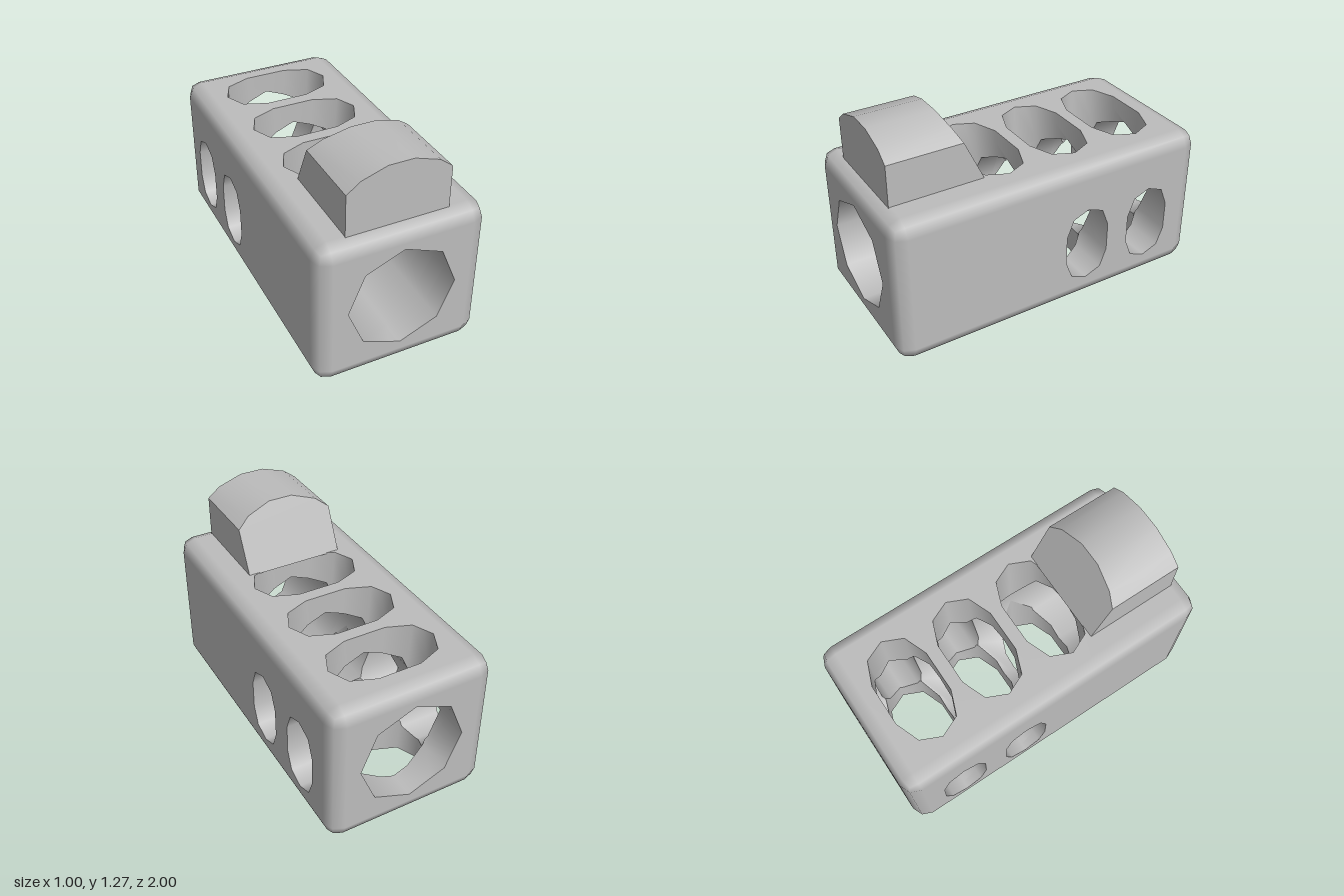
import * as THREE from 'three';
import { RoundedBoxGeometry } from 'three/addons/geometries/RoundedBoxGeometry.js';
import { toCreasedNormals } from 'three/addons/utils/BufferGeometryUtils.js';

const W = 1.0, H = 0.91, D = 2.0, BEVEL = 0.09;
const V = (x, y, z) => new THREE.Vector3(x, y, z);

// Part of a convex polygon of {p, n} points on one side of a plane (side 1 = in front)
function clip(poly, plane, side) {
  const out = [];
  poly.forEach((a, i) => {
    const b = poly[(i + 1) % poly.length];
    const da = plane.distanceToPoint(a.p) * side;
    const db = plane.distanceToPoint(b.p) * side;
    if (da >= -1e-7) out.push(a);
    if ((da > 1e-7 && db < -1e-7) || (da < -1e-7 && db > 1e-7)) {
      const t = da / (da - db);
      out.push({ p: a.p.clone().lerp(b.p, t), n: a.n.clone().lerp(b.n, t).normalize() });
    }
  });
  const flat = out.every((v) => Math.abs(plane.distanceToPoint(v.p)) < 1e-6);
  return out.length > 2 && !flat ? out : null;
}

// Remove the inside of a convex cutter from a list of polygons
function subtract(polys, cutter) {
  const result = [];
  for (const poly of polys) {
    let rest = poly;
    const pieces = [];
    for (const plane of cutter.planes) {
      const outer = clip(rest, plane, 1);
      if (outer) pieces.push(outer);
      rest = clip(rest, plane, -1);
      if (!rest) break;
    }
    if (rest) result.push(...pieces);
    else result.push(poly);
  }
  return result;
}

// Prism-shaped hole: place(point, end) gives the 3D corner at end 0 or 1
function makeCutter(name, profile, place) {
  const count = profile.length;
  const rings = [0, 1].map((end) => profile.map((q) => place(q, end)));
  const center = V(0, 0, 0);
  rings.flat().forEach((p) => center.addScaledVector(p, 0.5 / count));
  const planes = profile.map((_, i) => {
    const plane = new THREE.Plane().setFromCoplanarPoints(rings[0][i], rings[0][(i + 1) % count], rings[1][i]);
    return plane.distanceToPoint(center) > 0 ? plane.negate() : plane;
  });
  // Wall normals point into the hole and are smoothed around it
  const normals = planes.map((pl, i) =>
    pl.normal.clone().add(planes[(i + count - 1) % count].normal).normalize().negate());
  const walls = planes.map((pl, i) => {
    const j = (i + 1) % count;
    const quad = [[0, i], [0, j], [1, j], [1, i]].map(([e, k]) => ({ p: rings[e][k], n: normals[k] }));
    const facing = quad[1].p.clone().sub(quad[0].p).cross(quad[2].p.clone().sub(quad[0].p));
    return facing.dot(pl.normal) > 0 ? quad.reverse() : quad;
  });
  return { name, planes, walls };
}

function polysToGeometry(polys) {
  const pos = [], nor = [];
  for (const poly of polys) {
    for (let i = 1; i < poly.length - 1; i++) {
      for (const v of [poly[0], poly[i], poly[i + 1]]) {
        pos.push(...v.p.toArray());
        nor.push(...v.n.toArray());
      }
    }
  }
  const g = new THREE.BufferGeometry();
  g.setAttribute('position', new THREE.Float32BufferAttribute(pos, 3));
  g.setAttribute('normal', new THREE.Float32BufferAttribute(nor, 3));
  return g;
}

export function createModel() {
  const group = new THREE.Group();
  const grey = new THREE.MeshStandardMaterial({ color: 0xbcbcbc });
  grey.name = 'grey metal';
  const add = (name, geometry) => {
    const mesh = new THREE.Mesh(geometry, grey);
    mesh.name = name;
    group.add(mesh);
  };

  // Lengthwise octagonal bore
  const octagon = Array.from({ length: 8 }, (_, i) => [
    0.322 * Math.cos((i * Math.PI) / 4), 0.322 * Math.sin((i * Math.PI) / 4)]);
  const cutters = [makeCutter('bore', octagon, ([x, y], e) => V(x, 0.462 + y, (e - 0.5) * D))];

  // Ten-sided slot outline, long along its first axis
  const slot = (flat, mid, end, midHalf, half) => [
    [end, 0], [mid, midHalf], [flat, half], [-flat, half], [-mid, midHalf],
    [-end, 0], [-mid, -midHalf], [-flat, -half], [flat, -half], [mid, -midHalf]];

  // Three slots from top to bottom, with ends sloping in towards the bottom
  for (const z of [-0.66, -0.225, 0.21]) {
    cutters.push(makeCutter('topSlot', slot(0.13, 0.275, 0.33, 0.122, 0.178),
      ([a, b], e) => V(a - Math.sign(a) * 0.05 * (1 - e), e * H, z + b)));
  }
  // Two slots from side to side
  for (const z of [-0.65, -0.217]) {
    cutters.push(makeCutter('sideSlot', slot(0.09, 0.2, 0.24, 0.1, 0.143),
      ([a, b], e) => V((e - 0.5) * W, 0.38 + a, z + b)));
  }

  // Rounded block with the holes cut out
  const box = new RoundedBoxGeometry(W, H, D, 1, BEVEL);
  box.translate(0, H / 2, 0);
  const { position, normal } = box.attributes;
  let block = [];
  for (let i = 0; i < position.count; i += 3) {
    block.push([0, 1, 2].map((k) => ({
      p: V().fromBufferAttribute(position, i + k),
      n: V().fromBufferAttribute(normal, i + k),
    })));
  }
  for (const cutter of cutters) block = subtract(block, cutter);
  add('block', polysToGeometry(block));

  // Inner walls of each hole, opened where other holes cross
  for (const cutter of cutters) {
    let walls = cutter.walls;
    for (const other of cutters) if (other !== cutter) walls = subtract(walls, other);
    add(cutter.name + 'Walls', polysToGeometry(walls));
  }

  // Raised sight with a domed top and sloping back
  const outline = [[-0.308, 0.905], [0.297, 0.905], [0.297, 1.16], [0.22, 1.22],
    [0.07, 1.27], [-0.08, 1.27], [-0.23, 1.22], [-0.308, 1.16]];
  const sight = new THREE.ExtrudeGeometry(
    new THREE.Shape(outline.map(([x, y]) => new THREE.Vector2(x, y))),
    { depth: 0.92, bevelEnabled: false });
  const sp = sight.attributes.position;
  for (let i = 0; i < sp.count; i++) {
    if (sp.getZ(i) < 0.1) sp.setZ(i, 0.35 + (sp.getY(i) - H) * 0.472);
  }
  add('sight', toCreasedNormals(sight, 0.6));

  return group;
}
